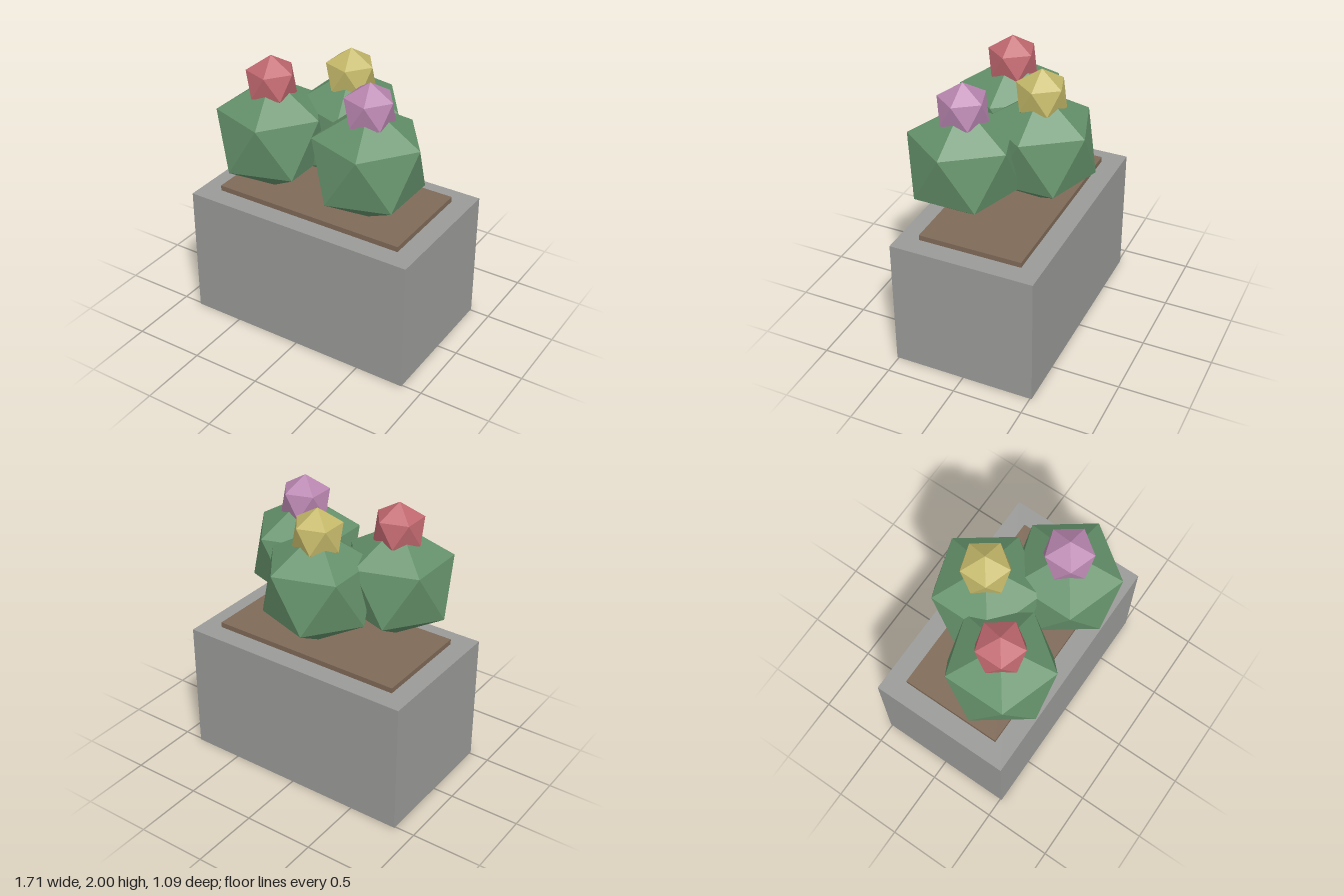
import * as THREE from 'three';

const paint = (name, color) => {
  const m = new THREE.MeshStandardMaterial({ color });
  m.name = name;
  return m;
};

// Icosahedron standing on one corner, with an upper-ring corner towards +x
function ball(radius) {
  const golden = (1 + Math.sqrt(5)) / 2;
  const g = new THREE.IcosahedronGeometry(radius, 0);
  g.rotateZ(-Math.atan(1 / golden));
  g.computeVertexNormals(); // unindexed, so this gives flat facets
  return g;
}

export function createModel() {
  const model = new THREE.Group();
  model.name = 'cactusPlanter';

  const concrete = paint('concrete', 0x9a9a98);
  const earth = paint('soil', 0x7f6a58);
  const green = paint('cactusGreen', 0x64916a);
  const red = paint('redFlower', 0xc0686f);
  const yellow = paint('yellowFlower', 0xc4b869);
  const pink = paint('pinkFlower', 0xb986b0);

  const add = (parent, name, geometry, material, x, y, z) => {
    const mesh = new THREE.Mesh(geometry, material);
    mesh.name = name;
    mesh.position.set(x, y, z);
    parent.add(mesh);
  };

  // Planter block and the soil slab on top
  add(model, 'planter', new THREE.BoxGeometry(1.71, 0.952, 1.024), concrete, 0, 0.476, 0);
  add(model, 'soil', new THREE.BoxGeometry(1.426, 0.076, 0.738), earth, 0, 0.952, 0);

  // Three cacti, each with a flower on its crown
  const bodyShape = ball(0.416);
  const flowerShape = ball(0.187);
  const cacti = [
    ['rightCactus', -0.38, 0.19, red],
    ['backCactus', 0, -0.19, yellow],
    ['leftCactus', 0.38, 0.19, pink],
  ];
  for (const [name, x, z, petal] of cacti) {
    const cactus = new THREE.Group();
    cactus.name = name;
    cactus.position.set(x, 0, z);
    add(cactus, 'cactusBody', bodyShape, green, 0, 1.431, 0);
    add(cactus, 'flower', flowerShape, petal, 0, 1.813, 0);
    model.add(cactus);
  }
  return model;
}
